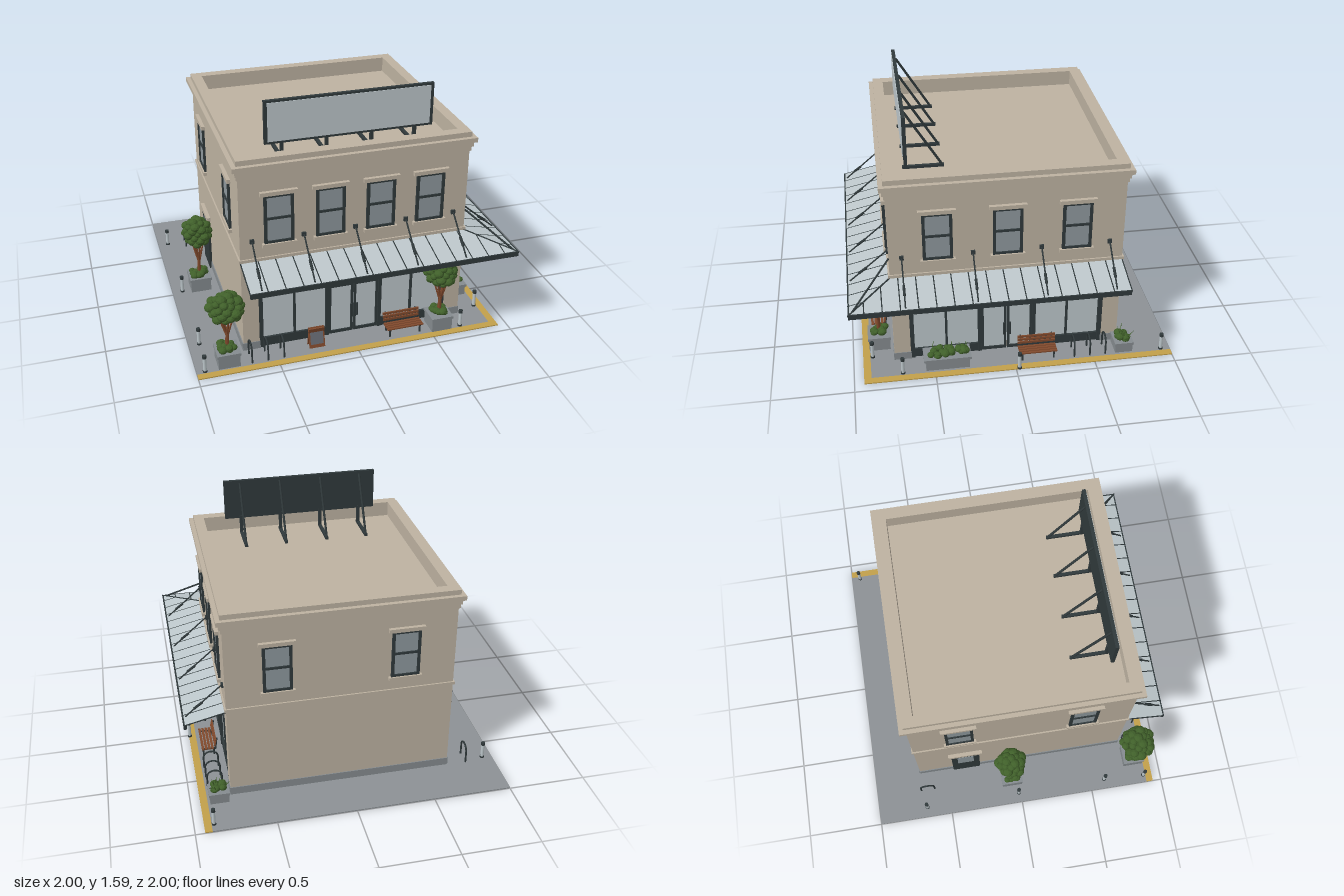
import * as THREE from 'three';
import { mergeGeometries } from 'three/addons/utils/BufferGeometryUtils.js';

const mat = (name, color, extra = {}) => Object.assign(new THREE.MeshStandardMaterial({ color, ...extra }), { name });
const wall = mat('wall render', 0xbdb2a1);
const dark = mat('dark metal', 0x30393b);
const pale = mat('pale glass', 0xbcc6ca, { side: THREE.DoubleSide });
const grey = mat('window glass', 0x8e989d);
const slate = mat('slate panel', 0x666a73);
const paving = mat('paving', 0x8c9195);
const stone = mat('stone', 0x858b8f);
const yellow = mat('kerb yellow', 0xc2a04a);
const wood = mat('wood', 0x80492c);
const green = mat('foliage', 0x40602a, { flatShading: true });

let seed = 7;
const rnd = (a = 0, b = 1) => {
  seed = (seed * 16807) % 2147483647;
  return a + (b - a) * seed / 2147483647;
};

function add(parent, name, geo, material, x = 0, y = 0, z = 0) {
  const m = new THREE.Mesh(geo, material);
  m.name = name;
  m.position.set(x, y, z);
  parent.add(m);
  return m;
}
// box given by its centre x and z and its bottom and top heights
const box = (p, name, material, x, z, w, d, y0, y1) =>
  add(p, name, new THREE.BoxGeometry(w, y1 - y0, d), material, x, (y0 + y1) / 2, z);

function group(parent, name, x = 0, z = 0, angle = 0) {
  const g = new THREE.Group();
  g.name = name;
  g.position.set(x, 0, z);
  g.rotation.y = angle;
  parent.add(g);
  return g;
}
// round bar between two points
function bar(p, name, material, a, b, r, r2 = r) {
  const A = new THREE.Vector3(...a), B = new THREE.Vector3(...b), d = B.clone().sub(A);
  const m = add(p, name, new THREE.CylinderGeometry(r2, r, d.length(), 6), material);
  m.position.copy(A).add(B).multiplyScalar(0.5);
  m.quaternion.setFromUnitVectors(new THREE.Vector3(0, 1, 0), d.normalize());
}
// square ring around the building
function ring(p, name, material, outer, inner, y0, y1) {
  const sq = (C, h) => new C([[-h, -h], [h, -h], [h, h], [-h, h]].map(q => new THREE.Vector2(...q)));
  const s = sq(THREE.Shape, outer);
  s.holes.push(sq(THREE.Path, inner));
  const geo = new THREE.ExtrudeGeometry(s, { depth: y1 - y0, bevelEnabled: false }).rotateX(-Math.PI / 2);
  add(p, name, geo, material, 0, y0);
}

const H = 0.7125, OUT = 0.97; // half width of the building, reach of the canopy

function upperWindow(p, x) {
  const g = group(p, 'upperWindow', x, H);
  box(g, 'pane', grey, 0, 0.002, 0.17, 0.008, 0.755, 1.055);
  for (const s of [-1, 1]) box(g, 'sideFrame', dark, s * 0.081, 0.005, 0.018, 0.02, 0.75, 1.065);
  for (const y of [0.75, 0.905, 1.05]) box(g, 'crossFrame', dark, 0, 0.005, 0.17, 0.018, y, y + 0.015);
  box(g, 'lintel', wall, 0, 0.008, 0.225, 0.03, 1.065, 1.09);
  box(g, 'sill', wall, 0, 0.008, 0.21, 0.032, 0.728, 0.75);
}

// shopfront, set back between the piers
function shopfront(p) {
  const g = group(p, 'shopfront', 0, H - 0.03), w = 1.22;
  box(g, 'shopGlass', pale, 0, 0.002, w, 0.006, 0.06, 0.44);
  box(g, 'signPanel', slate, 0, 0.012, w, 0.02, 0.44, 0.55);
  box(g, 'headRail', dark, 0, 0.014, w, 0.026, 0.432, 0.445);
  box(g, 'transomRail', dark, 0, 0.01, w, 0.016, 0.37, 0.383);
  for (const s of [-1, 1]) {
    box(g, 'kickPanel', dark, s * 0.39, 0.01, 0.44, 0.018, 0.008, 0.068);
    box(g, 'endPost', dark, s * 0.597, 0.014, 0.026, 0.028, 0, 0.55);
    box(g, 'mullion', dark, s * 0.382, 0.01, 0.014, 0.018, 0.06, 0.44);
    box(g, 'doorPost', dark, s * 0.172, 0.012, 0.022, 0.024, 0, 0.44);
    // door leaf
    box(g, 'doorGlass', pale, s * 0.08, 0.006, 0.15, 0.008, 0.02, 0.36);
    for (const x of [0.01, 0.153]) box(g, 'doorStile', dark, s * x, 0.01, 0.014, 0.016, 0.01, 0.37);
    for (const y of [0.01, 0.35]) box(g, 'doorRail', dark, s * 0.08, 0.01, 0.15, 0.016, y, y + 0.02);
    bar(g, 'doorHandle', dark, [s * 0.02, 0.13, 0.03], [s * 0.02, 0.22, 0.03], 0.006);
  }
}

// one mitred side of the canopy; s mirrors it along the wall
function canopy(p, s, rods) {
  const g = group(p, 'canopy');
  const P = (x, y, z) => [s * x, y, z];
  const geo = new THREE.BufferGeometry();
  geo.setAttribute('position', new THREE.Float32BufferAttribute(
    [P(-H, 0.635, H), P(-H, 0.575, OUT), P(OUT, 0.575, OUT), P(H, 0.635, H)].flat(), 3));
  geo.setIndex(s > 0 ? [0, 1, 2, 0, 2, 3] : [0, 2, 1, 0, 3, 2]);
  geo.computeVertexNormals();
  add(g, 'canopyGlass', geo, pale);
  const yAt = z => 0.635 - 0.06 * (z - H) / (OUT - H);
  for (let x = -H; x < OUT - 0.02; x += 0.106) {
    const z0 = Math.max(H, x);
    bar(g, 'canopyRib', dark, P(x, yAt(z0) - 0.002, z0), P(x, 0.573, OUT), 0.004);
  }
  bar(g, 'mitreRib', dark, P(H, 0.633, H), P(OUT, 0.573, OUT), 0.006);
  bar(g, 'purlin', dark, P(-H, 0.595, 0.84), P(0.84, 0.595, 0.84), 0.006);
  box(g, 'canopyFascia', dark, s * (OUT - H) / 2, OUT - 0.01, OUT + H, 0.02, 0.545, 0.577);
  for (const x of rods) {
    box(g, 'rodPlate', dark, x, H + 0.006, 0.026, 0.012, 0.762, 0.788);
    bar(g, 'tieRod', dark, [x, 0.775, H + 0.01], [x, 0.58, OUT - 0.02], 0.005);
    bar(g, 'rodSleeve', dark, [x, 0.668, 0.844], [x, 0.63, 0.895], 0.009);
    bar(g, 'bracketArm', dark, [x, 0.61, H], [x, 0.565, OUT - 0.02], 0.009);
  }
}

function clump(p, n, place, r0, r1) {
  const parts = [];
  for (let i = 0; i < n; i++) {
    const r = rnd(r0, r1);
    parts.push(new THREE.IcosahedronGeometry(r, 1).scale(1, 0.8, 1).rotateY(rnd(0, 6)).translate(...place(i)));
  }
  add(p, 'leaves', mergeGeometries(parts), green);
}

function planter(p, x, z, w, d, h, grass) {
  const g = group(p, 'planter', x, z);
  box(g, 'tub', stone, 0, 0, w * 0.92, d * 0.92, 0.008, h);
  box(g, 'tubRim', stone, 0, 0, w, d, h - 0.018, h);
  const a = w / 2 - 0.03, b = d / 2 - 0.03;
  clump(g, Math.round(900 * w * d), () => [rnd(-a, a), h + rnd(0.005, 0.025), rnd(-b, b)], 0.018, 0.028);
  for (let i = 0; i < grass; i++) {
    const u = rnd(-a, a), v = rnd(-b, b);
    bar(g, 'grassBlade', green, [u, h, v], [u + rnd(-0.04, 0.04), h + rnd(0.04, 0.075), v + rnd(-0.04, 0.04)], 0.004, 0.001);
  }
  return g;
}

function tree(p, x, z, yc, ry, rx) {
  const g = group(p, 'tree', x, z);
  planter(g, 0, 0, 0.145, 0.145, 0.105, 0);
  bar(g, 'trunk', wood, [0, 0.1, 0], [0.005, 0.23, 0], 0.014, 0.01);
  for (let i = 0; i < 6; i++) {
    const t = i * Math.PI / 3 + 0.3;
    bar(g, 'branch', wood, [0.004, 0.19 + (i % 3) * 0.015, 0],
      [Math.cos(t) * rx * 0.6, yc - 0.02, Math.sin(t) * rx * 0.6], 0.007, 0.004);
  }
  clump(g, 48, i => {
    const v = 1 - 2 * (i + 0.5) / 48, t = i * 2.4, q = Math.sqrt(1 - v * v) * rnd(0.7, 1);
    return [Math.cos(t) * q * rx, yc + Math.max(v, -0.7) * ry, Math.sin(t) * q * rx];
  }, 0.025, 0.036);
}

function bench(p, x, z, angle) {
  const g = group(p, 'bench', x, z, angle);
  for (let i = 0; i < 4; i++) box(g, 'seatSlat', wood, 0, -0.025 + i * 0.021, 0.24, 0.016, 0.062, 0.07);
  for (let i = 0; i < 3; i++) box(g, 'backSlat', wood, 0, -0.041 - i * 0.004, 0.24, 0.008, 0.08 + i * 0.02, 0.095 + i * 0.02);
  for (const s of [-0.1, 0.1]) {
    for (const v of [-0.035, 0.035]) bar(g, 'benchLeg', dark, [s, 0.008, v], [s, 0.062, v], 0.006);
    bar(g, 'backPost', dark, [s, 0.05, -0.045], [s, 0.135, -0.058], 0.005);
    bar(g, 'armRest', dark, [s, 0.058, -0.04], [s, 0.058, 0.045], 0.006);
  }
}

function bikeHoop(p, x, z) {
  const path = new THREE.CurvePath(), V = (y, w) => new THREE.Vector3(0, y, w);
  path.add(new THREE.LineCurve3(V(0.005, -0.047), V(0.085, -0.047)));
  path.add(new THREE.CubicBezierCurve3(V(0.085, -0.047), V(0.145, -0.047), V(0.145, 0.047), V(0.085, 0.047)));
  path.add(new THREE.LineCurve3(V(0.085, 0.047), V(0.005, 0.047)));
  add(p, 'bikeHoop', new THREE.TubeGeometry(path, 24, 0.006, 6), dark, x, 0, z);
}

function bollard(p, x, z) {
  const g = group(p, 'bollard', x, z);
  add(g, 'bollardPost', new THREE.CylinderGeometry(0.011, 0.011, 0.1, 10), pale, 0, 0.058);
  add(g, 'bollardCap', new THREE.CylinderGeometry(0.013, 0.013, 0.02, 10), dark, 0, 0.117);
  add(g, 'bollardFoot', new THREE.CylinderGeometry(0.014, 0.014, 0.012, 10), dark, 0, 0.013);
}

export function createModel() {
  const root = new THREE.Group();
  root.name = 'cornerShop';

  // pavement and kerb
  box(root, 'pavement', paving, -0.0525, -0.0525, 1.895, 1.895, 0.001, 0.008);
  box(root, 'frontKerb', yellow, -0.03, 0.9175, 1.94, 0.045, 0.001, 0.008);
  box(root, 'sideKerb', yellow, 0.9175, -0.0525, 0.045, 1.895, 0.001, 0.008);

  // building shell
  const b = group(root, 'building', 0.03, 0.03);
  box(b, 'floor', wall, 0, 0, 1.3, 1.3, 0, 0.006);
  box(b, 'lowerWalls', wall, -0.015, -0.015, 2 * H - 0.03, 2 * H - 0.03, 0.004, 0.55);
  box(b, 'upperWalls', wall, 0, 0, 2 * H, 2 * H, 0.545, 1.205);
  const e = (H + 0.61) / 2, t = H - 0.61;
  for (const [x, z] of [[-e, e], [e, e], [e, -e]]) {
    box(b, 'pier', wall, x, z, t, t, 0.004, 0.55);
    box(b, 'pierBase', stone, x, z, t + 0.008, t + 0.008, 0.005, 0.06);
  }
  ring(b, 'beltCourse', wall, 0.722, 0.7, 0.637, 0.656);
  for (const [o, y0, y1] of [[0.721, 1.18, 1.21], [0.73, 1.21, 1.243], [0.747, 1.243, 1.272], [0.72, 1.272, 1.304]])
    ring(b, 'cornice', wall, o, 0.653, y0, y1);

  // four facades
  const sides = [
    ['frontFacade', 0, [-0.475, -0.16, 0.154, 0.469]], ['leftFacade', Math.PI / 2, [-0.42, 0, 0.42]],
    ['backFacade', Math.PI, [-0.395, 0.395]], ['rightFacade', -Math.PI / 2, [-0.4, 0.4]]];
  const f = sides.map(([name, angle, xs]) => {
    const g = group(b, name, 0, 0, angle);
    xs.forEach(x => upperWindow(g, x));
    return g;
  });
  shopfront(f[0]);
  shopfront(f[1]);
  canopy(f[0], 1, [-0.64, -0.324, -0.003, 0.318, 0.63]);
  canopy(f[1], -1, [-0.636, -0.21, 0.206, 0.626]);
  bar(b, 'cornerTieRod', dark, [H, 0.775, H], [0.945, 0.58, 0.945], 0.006);
  for (const g of [f[2], f[3]]) box(g, 'wallBase', stone, 0, H, 2 * H, 0.012, 0.005, 0.06);
  // service door
  const door = group(f[3], 'serviceDoor', -0.38, H);
  box(door, 'doorSurround', dark, 0, 0.004, 0.19, 0.026, 0.008, 0.39);
  box(door, 'doorWindow', grey, 0, 0.016, 0.11, 0.006, 0.2, 0.35);
  box(door, 'doorLintel', wall, 0, 0.008, 0.23, 0.034, 0.39, 0.418);

  // roof sign
  const sign = group(root, 'roofSign', 0.0275, 0.606);
  box(sign, 'signBoard', dark, 0, 0, 1.035, 0.022, 1.322, 1.59);
  box(sign, 'signFace', pale, 0, 0.012, 0.995, 0.006, 1.337, 1.577);
  for (const x of [-0.412, -0.14, 0.138, 0.409]) {
    box(sign, 'signPost', dark, x, -0.005, 0.02, 0.02, 1.205, 1.34);
    box(sign, 'signFoot', dark, x, -0.11, 0.02, 0.25, 1.205, 1.222);
    bar(sign, 'signBrace', dark, [x, 1.57, -0.01], [x, 1.215, -0.225], 0.008);
  }

  // street furniture
  tree(root, -0.8, 0.82, 0.4, 0.07, 0.1);
  tree(root, -0.81, -0.05, 0.43, 0.09, 0.085);
  tree(root, 0.57, 0.83, 0.405, 0.075, 0.095);
  planter(root, 0.82, 0.42, 0.13, 0.295, 0.09, 8);
  planter(root, 0.82, -0.7, 0.13, 0.12, 0.08, 16);
  bench(root, 0.33, 0.83, 0);
  bench(root, 0.83, -0.15, Math.PI / 2);
  for (const x of [-0.66, -0.56, -0.46]) bikeHoop(root, x, 0.83);
  const sideHoops = group(root, 'sideHoops', 0.83, -0.48, Math.PI / 2);
  for (const x of [-0.1, 0, 0.1]) bikeHoop(sideHoops, x, 0);
  bikeHoop(root, -0.81, -0.645);
  for (const [x, z] of [[-0.935, -0.665], [-0.935, -0.015], [-0.935, 0.6], [-0.95, 0.88], [0.88, -0.94],
    [0.935, -0.02], [0.7, 0.88], [0.88, 0.7]]) bollard(root, x, z);

  // folding chalkboard
  const board = group(root, 'chalkboard', -0.24, 0.82);
  for (const s of [-1, 1]) {
    const leaf = group(board, 'boardLeaf', 0, s * 0.028);
    leaf.rotation.x = -s * 0.25;
    box(leaf, 'boardFrame', wood, 0, 0, 0.1, 0.008, 0.012, 0.148);
    box(leaf, 'boardFace', slate, 0, s * 0.003, 0.082, 0.006, 0.035, 0.138);
  }
  return root;
}
